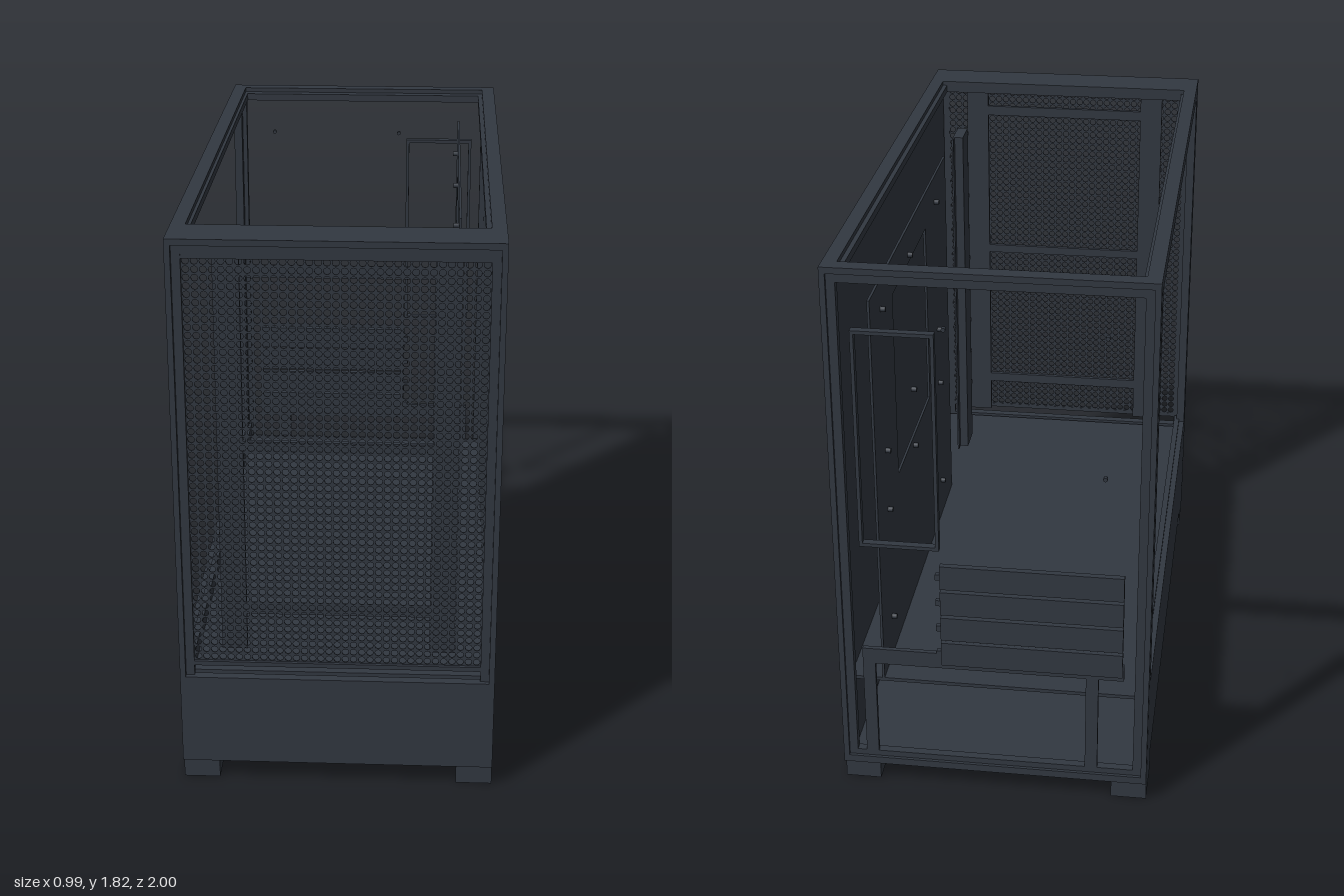
import * as THREE from 'three';
import { mergeGeometries } from 'three/addons/utils/BufferGeometryUtils.js';

export function createModel() {
  const group = new THREE.Group();
  const steel = new THREE.MeshStandardMaterial({ color: 0x323841 });
  steel.name = 'charcoal steel';

  const add = (name, geometry) => {
    const mesh = new THREE.Mesh(geometry, steel);
    mesh.name = name;
    group.add(mesh);
    return mesh;
  };
  // Box given by its limits on each axis
  const box = (name, x0, x1, y0, y1, z0, z1) => {
    const g = new THREE.BoxGeometry(x1 - x0, y1 - y0, z1 - z0);
    g.translate((x0 + x1) / 2, (y0 + y1) / 2, (z0 + z1) / 2);
    return add(name, g);
  };
  const rect = (path, x0, x1, y0, y1) =>
    path.moveTo(x0, y0).lineTo(x1, y0).lineTo(x1, y1).lineTo(x0, y1).closePath();
  // Rectangular plate with rectangular holes, in the x-y plane from z0 to z1
  const plate = (outer, holes, z0, z1) => {
    const shape = new THREE.Shape();
    rect(shape, ...outer);
    for (const h of holes) shape.holes.push(rect(new THREE.Path(), ...h));
    return new THREE.ExtrudeGeometry(shape, { depth: z1 - z0, bevelEnabled: false }).translate(0, 0, z0);
  };

  // Feet
  for (const s of [-1, 1])
    for (const t of [-1, 1]) {
      const x = s * 0.4375, z = t * 0.893;
      box('foot', x - 0.0575, x + 0.0575, 0, 0.075, z - 0.083, z + 0.083);
    }

  // Shell: base, stepped front and rear frames, side panels
  box('base', -0.495, 0.495, 0.075, 0.085, -1, 1);
  add('frontRim', plate([-0.495, 0.495, 0.08, 1.82], [[-0.477, 0.477, 0.38, 1.8]], 0.97, 1));
  add('frontInnerFrame', plate([-0.477, 0.477, 0.37, 1.8], [[-0.45, 0.45, 0.38, 1.77]], 0.97, 0.985));
  add('rearRim', plate([-0.495, 0.495, 0.08, 1.82], [[-0.477, 0.477, 0.1, 1.8]], -1, -0.963));
  add('rearInnerFrame', plate([-0.477, 0.477, 0.1, 1.8], [[-0.45, 0.45, 0.12, 1.77]], -0.99, -0.963));
  const top = plate([-0.495, 0.495, -1, 1], [[-0.45, 0.45, -0.85, 0.95]], 0, 0.015);
  add('topFrame', top.rotateX(-Math.PI / 2).translate(0, 1.805, 0));
  const lip = plate([-0.475, 0.465, -0.95, 0.95], [[-0.44, 0.435, -0.85, 0.915]], 0, 0.025);
  add('topFrameLip', lip.rotateX(-Math.PI / 2).translate(0, 1.78, 0));
  box('leftSidePanel', 0.47, 0.495, 0.08, 1.82, -0.955, 0.96);
  box('rightLowerPanel', -0.495, -0.475, 0.08, 0.42, -0.955, 0.96);
  box('rightLowerRail', -0.475, -0.455, 0.38, 0.43, -0.95, 0.95);
  box('rightTopRail', -0.495, -0.46, 1.77, 1.805, -0.955, 0.96);
  box('rightRearPost', -0.495, -0.465, 0.08, 1.805, -0.955, -0.92);
  box('rightFrontPost', -0.495, -0.465, 0.08, 1.805, 0.92, 0.96);
  box('shroudFloor', -0.475, 0.47, 0.368, 0.38, -0.95, 0.95);

  // Perforated front: one row of holes repeated upward
  const cols = 35, rows = 52, px = 0.9 / cols, py = 1.33 / rows;
  const strip = new THREE.Shape();
  rect(strip, -0.45, 0.45, 0, py);
  for (let i = 0; i < cols; i++) {
    const hole = new THREE.Path();
    hole.absarc(-0.45 + (i + 0.5) * px, py / 2, 0.0106, 0, Math.PI * 2, true);
    strip.holes.push(hole);
  }
  const row = new THREE.ExtrudeGeometry(strip, { depth: 0.004, bevelEnabled: false, curveSegments: 4 });
  const mesh = [];
  for (let j = 0; j < rows; j++) mesh.push(row.clone().translate(0, 0.43 + j * py, 0.971));
  add('frontMesh', mergeGeometries(mesh));
  box('meshBottomRail', -0.45, 0.45, 0.415, 0.43, 0.97, 0.985);
  box('meshTopRail', -0.45, 0.45, 1.757, 1.772, 0.97, 0.984);

  // Fan bracket behind the mesh
  for (const s of [-1, 1])
    box('fanRail', s * 0.328 - 0.04, s * 0.328 + 0.04, 0.44, 1.775, 0.9, 0.915);
  for (const [y0, y1] of [[0.565, 0.6], [1.125, 1.155], [1.68, 1.715]])
    box('fanCrossbar', -0.29, 0.29, y0, y1, 0.9, 0.915);

  // Rear: power supply opening, slot covers, port frame
  box('rearMidBar', -0.415, 0.42, 0.46, 0.515, -0.99, -0.975);
  box('supplyPost', -0.335, -0.295, 0.12, 0.46, -0.99, -0.975);
  box('supplyPost', 0.38, 0.42, 0.12, 0.46, -0.99, -0.975);
  for (let i = 0; i < 4; i++) {
    const y = 0.475 + i * 0.0935;
    box('slotCover', -0.41, 0.165, y, y + 0.083, -0.995, -0.975);
    box('slotTab', 0.165, 0.18, y + 0.03, y + 0.05, -0.99, -0.975);
  }
  add('portFrame', plate([0.165, 0.415, 0.89, 1.62], [[0.176, 0.404, 0.902, 1.608]], -0.99, -0.965));
  for (const [x, y] of [[-0.345, 1.18], [-0.345, 1.64], [0.135, 1.64]])
    add('rearFanScrew', new THREE.CylinderGeometry(0.007, 0.007, 0.015, 8)
      .rotateX(Math.PI / 2).translate(x, y, -0.99));

  // Inner tray with a cutout, standoffs, and cable cover
  const tray = plate([-0.35, 0.95, 0.38, 1.7], [[0.05, 0.62, 0.95, 1.58]], 0, 0.008);
  add('boardTray', tray.rotateY(Math.PI / 2).translate(0.36, 0, 0));
  for (const z of [-0.8, -0.36, 0.13])
    for (const y of [0.52, 0.92, 1.13, 1.61]) {
      add('standoff', new THREE.CylinderGeometry(0.009, 0.009, 0.018, 8)
        .rotateZ(Math.PI / 2).translate(0.353, y, z));
    }
  box('cableCover', 0.33, 0.36, 0.44, 1.7, 0.56, 0.67);
  box('cableCoverFlange', 0.36, 0.366, 0.44, 1.7, 0.53, 0.67);
  return group;
}
